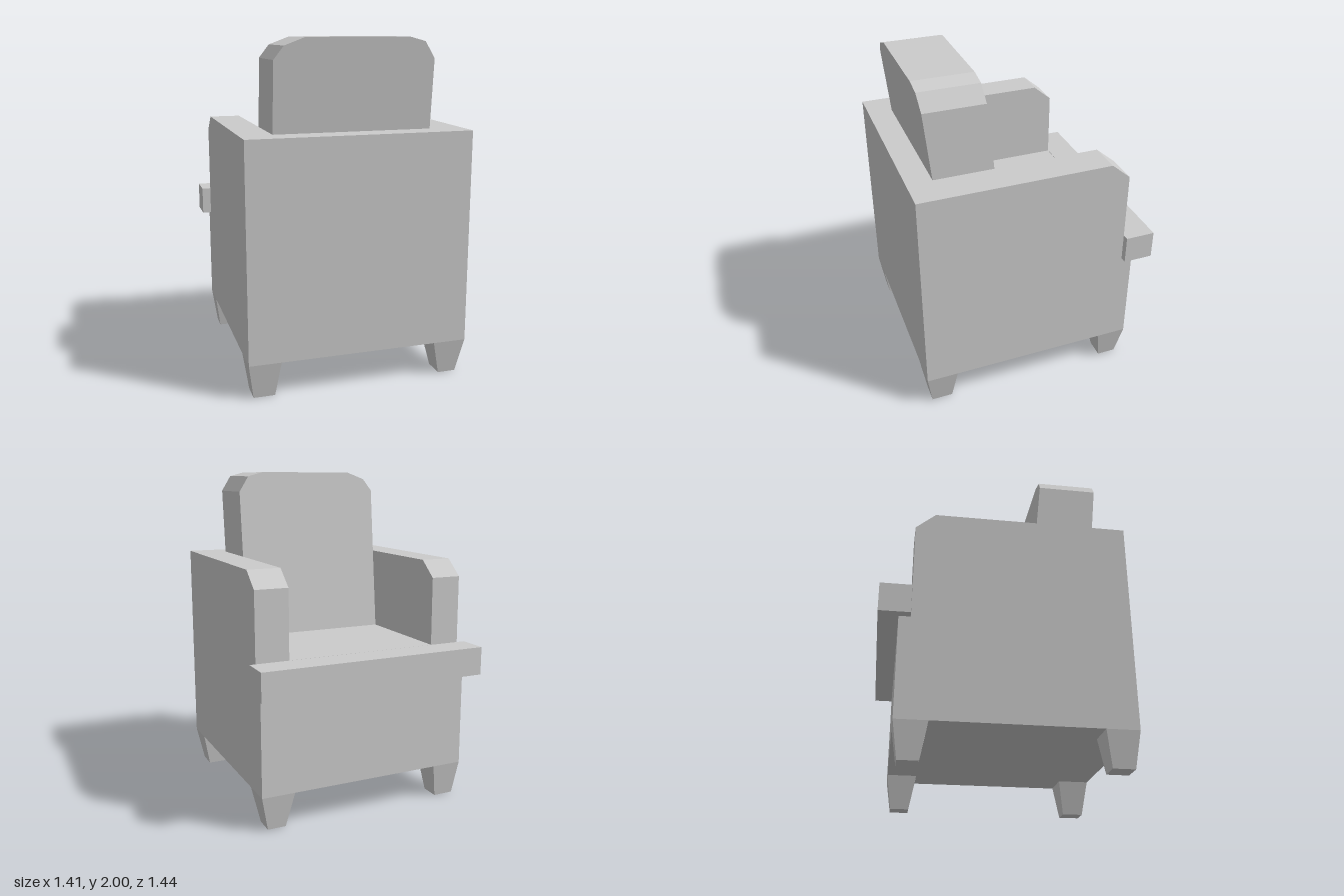
import * as THREE from 'three';

const material = new THREE.MeshStandardMaterial({ color: 0xcccccc, flatShading: true });

const shapeOf = (points) => new THREE.Shape(points.map(([a, b]) => new THREE.Vector2(a, b)));

function addMesh(group, name, geometry) {
  const mesh = new THREE.Mesh(geometry, material);
  mesh.name = name;
  group.add(mesh);
  return mesh;
}

// Side profile given as [z, y] points, extruded across x from x0 to x1
function sideExtrude(profile, x0, x1) {
  const geometry = new THREE.ExtrudeGeometry(shapeOf(profile), { depth: x1 - x0, bevelEnabled: false });
  return geometry.rotateY(-Math.PI / 2).translate(x1, 0, 0);
}

// Tapered leg: top and bottom rectangles given as [x0, x1, z0, z1]
function taperedLeg(height, top, bottom) {
  const geometry = new THREE.BoxGeometry(1, 1, 1).toNonIndexed();
  const p = geometry.attributes.position;
  for (let i = 0; i < p.count; i++) {
    const r = p.getY(i) > 0 ? top : bottom;
    p.setXYZ(i, p.getX(i) < 0 ? r[0] : r[1], p.getY(i) > 0 ? height : 0, p.getZ(i) < 0 ? r[2] : r[3]);
  }
  geometry.computeVertexNormals();
  return geometry;
}

export function createModel() {
  const chair = new THREE.Group();
  chair.name = 'armchair';

  const bottom = 0.208, seat = 0.97, top = 1.477;
  const left = 0.668, right = -0.655, inner = 0.467;
  const front = -0.605, back = 0.72, armFront = -0.537;

  // Side panels with chamfered armrests, stepped back above the front ledge
  const armProfile = [
    [front, bottom], [back, bottom], [back, top], [-0.42, top],
    [-0.535, 1.38], [armFront, 0.8], [front, 0.8],
  ];
  addMesh(chair, 'leftArm', sideExtrude(armProfile, inner, left));
  addMesh(chair, 'rightArm', sideExtrude(armProfile, right, -inner));

  // Seat base and rear panel
  addMesh(chair, 'seatAndBackPanel', sideExtrude([
    [front, bottom], [back, bottom], [back, top], [0.45, top],
    [0.45, seat], [armFront, seat], [armFront, 0.8], [front, 0.8],
  ], -inner, inner));

  // Ledge across the front of the seat
  addMesh(chair, 'frontLedge', new THREE.BoxGeometry(1.412, 0.17, 0.18))
    .position.set(-0.002, 0.885, -0.629);

  // Leaning backrest cushion with faceted upper corners
  const cushion = new THREE.ExtrudeGeometry(shapeOf([
    [-inner, seat - 0.02], [inner, seat - 0.02], [inner, 1.88], [0.405, 1.975], [0.31, 2],
    [-0.29, 2], [-0.41, 1.955], [-inner, 1.88],
  ]), { depth: 0.357, bevelEnabled: false });
  const p = cushion.attributes.position;
  for (let i = 0; i < p.count; i++) p.setZ(i, p.getZ(i) + 0.265 + 0.1 * (p.getY(i) - 2));
  cushion.computeVertexNormals();
  addMesh(chair, 'backrest', cushion);

  // Four tapered legs
  const xRanges = { Left: [[inner, left], [0.515, 0.625]], Right: [[right, -inner], [-0.625, -0.5]] };
  const zRanges = { front: [[front, -0.42], [-0.575, -0.46]], back: [[0.53, back], [0.56, 0.687]] };
  for (const [end, z] of Object.entries(zRanges)) {
    for (const [side, x] of Object.entries(xRanges)) {
      addMesh(chair, `${end}${side}Leg`, taperedLeg(bottom, [...x[0], ...z[0]], [...x[1], ...z[1]]));
    }
  }

  return chair;
}
